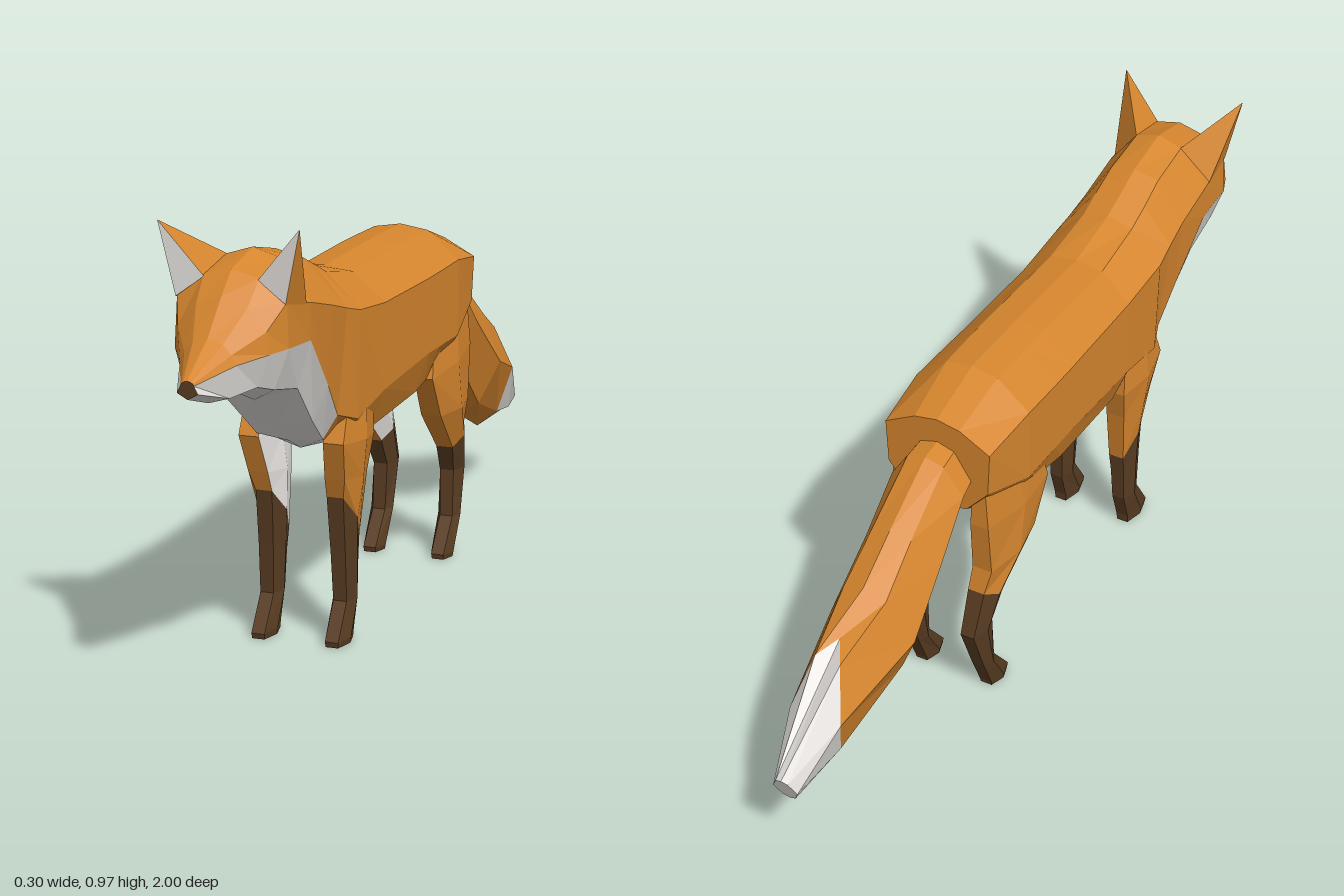
import * as THREE from 'three';

const mat = (name, color) => {
  const m = new THREE.MeshStandardMaterial({ color });
  m.name = name;
  return m;
};
const V = (x, y, z) => new THREE.Vector3(x, y, z);

// Skin closed rings of points with flat facets; pick(i, j) gives the material
// of segment j between rings i and i + 1. Each colour becomes one mesh.
function loft(name, rings, pick, capMats) {
  const tris = [];
  const add = (a, b, c, m) => {
    const area = b.clone().sub(a).cross(c.clone().sub(a)).length();
    if (area > 1e-8) tris.push({ p: [a, b, c], m });
  };
  const n = rings[0].length;
  for (let i = 0; i < rings.length - 1; i++) {
    for (let j = 0; j < n; j++) {
      const k = (j + 1) % n, r = rings[i], s = rings[i + 1], m = pick(i, j);
      add(r[j], r[k], s[k], m);
      add(r[j], s[k], s[j], m);
    }
  }
  [rings[0], rings[rings.length - 1]].forEach((r, end) => {
    const c = r.reduce((t, p) => t.add(p), V(0, 0, 0)).divideScalar(n);
    for (let j = 0; j < n; j++) {
      const a = r[j], b = r[(j + 1) % n];
      end ? add(a, b, c, capMats[1]) : add(b, a, c, capMats[0]);
    }
  });
  // Turn all faces outward if the enclosed volume is negative
  const volume = tris.reduce((t, { p }) => t + p[0].dot(p[1].clone().cross(p[2])), 0);
  const group = new THREE.Group();
  group.name = name;
  for (const m of new Set(tris.map(t => t.m))) {
    const pts = tris.filter(t => t.m === m)
      .flatMap(t => volume < 0 ? [t.p[0], t.p[2], t.p[1]] : t.p);
    const g = new THREE.BufferGeometry().setFromPoints(pts);
    g.computeVertexNormals();
    const mesh = new THREE.Mesh(g, m);
    mesh.name = `${name} ${m.name}`;
    group.add(mesh);
  }
  return group;
}

// Complete a half ring (top centre to bottom centre) with its mirror image
const mirrorRing = half =>
  [...half, ...half.slice(1, -1).reverse().map(p => V(-p.x, p.y, p.z))];

// Cross-sections: z, top y, four side points (x, y), bottom y
const HEAD = [
  [1.0, .702, .008, .70, .012, .697, .014, .693, .022, .677, .665],
  [.9, .765, .032, .755, .05, .735, .06, .715, .045, .648, .635],
  [.83, .835, .055, .815, .095, .77, .102, .725, .075, .657, .648],
  [.78, .88, .06, .865, .118, .82, .122, .728, .09, .642, .632],
  [.67, .905, .058, .887, .125, .80, .125, .722, .095, .62, .588],
  [.55, .88, .06, .865, .126, .77, .115, .60, .08, .52, .502],
];
const BODY = [
  [.48, .85, .062, .835, .131, .75, .108, .52, .075, .465, .455],
  [.42, .825, .062, .81, .137, .735, .13, .50, .08, .45, .425],
  [.27, .793, .065, .783, .136, .72, .136, .53, .1, .44, .403],
  [0, .80, .065, .79, .139, .72, .14, .55, .11, .46, .405],
  [-.08, .80, .065, .79, .14, .722, .14, .55, .105, .468, .415],
  [-.2, .80, .063, .79, .14, .725, .14, .55, .095, .48, .465],
  [-.35, .755, .055, .745, .128, .705, .123, .60, .07, .54, .525],
];

// Legs: front y, back y, front z, back z, inner x, outer x
const FRONT_LEG = [
  [.56, .56, .43, .30, .065, .13],
  [.455, .44, .475, .29, .055, .137],
  [.37, .36, .445, .31, .047, .128],
  [.325, .22, .428, .332, .048, .115],
  [.2, .17, .415, .337, .053, .113],
  [.09, .09, .408, .342, .057, .112],
  [.012, .02, .46, .365, .058, .112],
  [0, 0, .458, .367, .06, .11],
];
const HIND_LEG = [
  [.6, .6, -.12, -.345, .07, .126],
  [.47, .5, -.08, -.347, .06, .139],
  [.37, .37, -.14, -.333, .055, .14],
  [.265, .31, -.262, -.345, .053, .124],
  [.2, .2, -.295, -.377, .053, .113],
  [.09, .09, -.288, -.335, .057, .112],
  [.012, .01, -.225, -.3, .058, .112],
  [0, 0, -.227, -.298, .06, .11],
];

// Tail: top z, top y, bottom z, bottom y, half width, backward push of the sides
const TAIL = [
  [-.33, .70, -.33, .55, .08, 0],
  [-.40, .69, -.385, .53, .088, 0],
  [-.55, .595, -.44, .42, .094, 0],
  [-.66, .52, -.60, .26, .104, 0],
  [-.755, .455, -.77, .185, .062, .1],
  [-1, .25, -.972, .18, .03, 0],
];

export function createModel() {
  const orange = mat('orange fur', 0xd6862e);
  const white = mat('white fur', 0xe6e3df);
  const brown = mat('dark brown fur', 0x583c22);
  const fox = new THREE.Group();
  fox.name = 'fox';

  // Head, neck and trunk in one skin, with pale muzzle, throat and belly
  const trunk = [...HEAD, ...BODY].map(([z, top, ax, ay, bx, by, cx, cy, dx, dy, low]) =>
    mirrorRing([V(0, top, z), V(ax, ay, z), V(bx, by, z), V(cx, cy, z), V(dx, dy, z), V(0, low, z)]));
  fox.add(loft('body', trunk, (i, j) => {
    const seg = Math.min(j, 9 - j);
    return seg === 4 || (seg === 3 && i < HEAD.length) ? white : orange;
  }, [brown, orange]));

  // Tail with a pale tip whose edge runs in points
  const profile = [[0, 0], [.5, .08], [1, .5], [.55, .9], [0, 1]];
  const tail = TAIL.map(([tz, ty, bz, by, w, push]) => mirrorRing(profile.map(([f, t]) => {
    const side = f * push;
    return V(f * w, ty + (by - ty) * t, tz + (bz - tz) * t - side);
  })));
  fox.add(loft('tail', tail, i => (i > 3 ? white : orange), [orange, white]));

  for (const s of [1, -1]) {
    const side = s > 0 ? 'left' : 'right';

    // Six-sided legs with dark stockings and pale inner thighs
    const leg = (name, rows) => {
      const rings = rows.map(([yf, yb, zf, zb, xi, xo]) => {
        const c = (xo - xi) * .22, ym = (yf + yb) / 2, zm = (zf + zb) / 2;
        return [V(s * (xi + c), yf, zf), V(s * (xo - c), yf, zf), V(s * xo, ym, zm),
          V(s * (xo - c), yb, zb), V(s * (xi + c), yb, zb), V(s * xi, ym, zm)];
      });
      fox.add(loft(`${side} ${name}`, rings,
        (i, j) => (i > 2 ? brown : j > 3 ? white : orange), [orange, brown]));
    };
    leg('front leg', FRONT_LEG);
    leg('hind leg', HIND_LEG);

    // Pointed ear with pale inner face
    const base = [V(s * .058, .862, .783), V(s * .118, .818, .787),
      V(s * .124, .80, .69), V(s * .057, .887, .668)];
    const tip = V(s * .152, .972, .795);
    fox.add(loft(`${side} ear`, [base, base.map(() => tip)],
      (i, j) => (j === 0 ? white : orange), [orange, orange]));
  }
  return fox;
}
